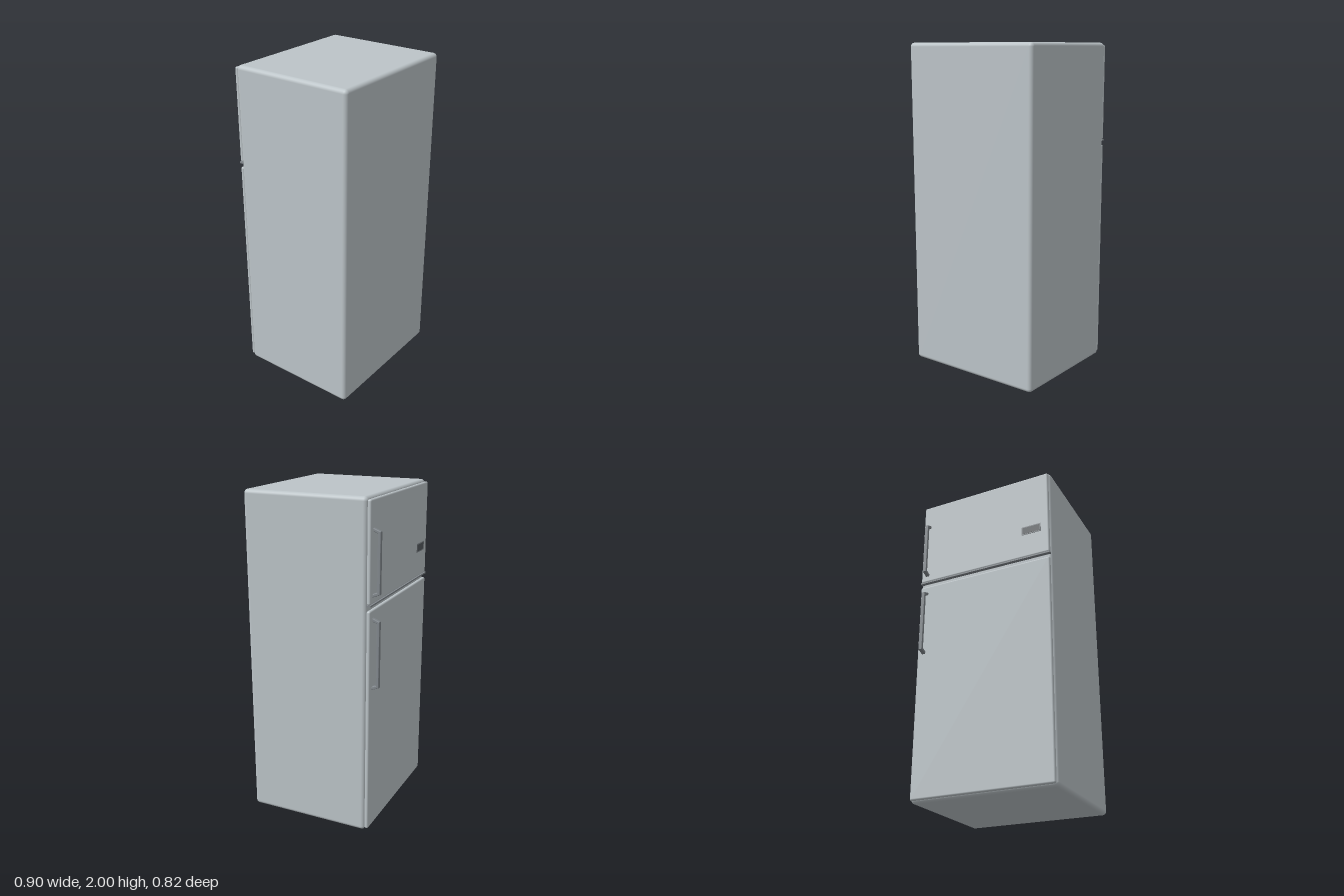
import * as THREE from 'three';
import { RoundedBoxGeometry } from 'three/addons/geometries/RoundedBoxGeometry.js';

function material(name, color) {
  const m = new THREE.MeshStandardMaterial({ color });
  m.name = name;
  return m;
}

export function createModel() {
  const enamel = material('pale grey enamel', 0xbcc4c8);
  const metal = material('grey metal', 0x82888d);
  const dark = material('dark grey', 0x565b5f);
  const group = new THREE.Group();
  group.name = 'refrigerator';

  function add(name, geometry, mat, x = 0, y = 0, z = 0) {
    const mesh = new THREE.Mesh(geometry, mat);
    mesh.name = name;
    mesh.position.set(x, y, z);
    group.add(mesh);
    return mesh;
  }

  // Rounded box given by its vertical and depth limits
  function slab(name, width, y0, y1, z0, z1, radius) {
    add(name, new RoundedBoxGeometry(width, y1 - y0, z1 - z0, 5, radius),
      enamel, 0, (y0 + y1) / 2, (z0 + z1) / 2);
  }

  // Cabinet and the two doors, which open towards -z
  slab('cabinet', 0.905, 0, 2, -0.35, 0.412, 0.024);
  slab('freezerDoor', 0.886, 1.412, 1.986, -0.37, -0.346, 0.0105);
  slab('fridgeDoor', 0.886, 0.012, 1.378, -0.37, -0.346, 0.0105);

  // Thin trim strip under the freezer door
  add('doorTrim', new THREE.BoxGeometry(0.89, 0.009, 0.026), metal, 0, 1.4075, -0.36);

  // Bow handle: upright grip with slanting mounts, bevelled all round
  function handle(name, y0, y1) {
    const b = 0.004;
    const points = [
      [0.364, y0 + b], [0.371, y0 + b], [0.409, y0 + 0.019], [0.409, y1 - 0.019],
      [0.371, y1 - b], [0.364, y1 - b], [0.364, y1 - 0.014], [0.371, y1 - 0.014],
      [0.399, y1 - 0.026], [0.399, y0 + 0.026], [0.371, y0 + 0.014], [0.364, y0 + 0.014],
    ].map(([u, y]) => new THREE.Vector2(u, y));
    const geometry = new THREE.ExtrudeGeometry(new THREE.Shape(points), {
      depth: 0.016, bevelEnabled: true, bevelSize: b, bevelThickness: b, bevelSegments: 3,
    });
    geometry.rotateY(Math.PI / 2);
    add(name, geometry, metal, 0.391, 0, 0);
  }
  handle('freezerHandle', 1.452, 1.832);
  handle('fridgeHandle', 0.907, 1.332);

  // Blank badge plate with a darker inset
  add('badgePlate', new THREE.BoxGeometry(0.126, 0.056, 0.004), metal, -0.328, 1.597, -0.371);
  add('badgeInset', new THREE.BoxGeometry(0.112, 0.042, 0.002), dark, -0.328, 1.597, -0.373);

  return group;
}
